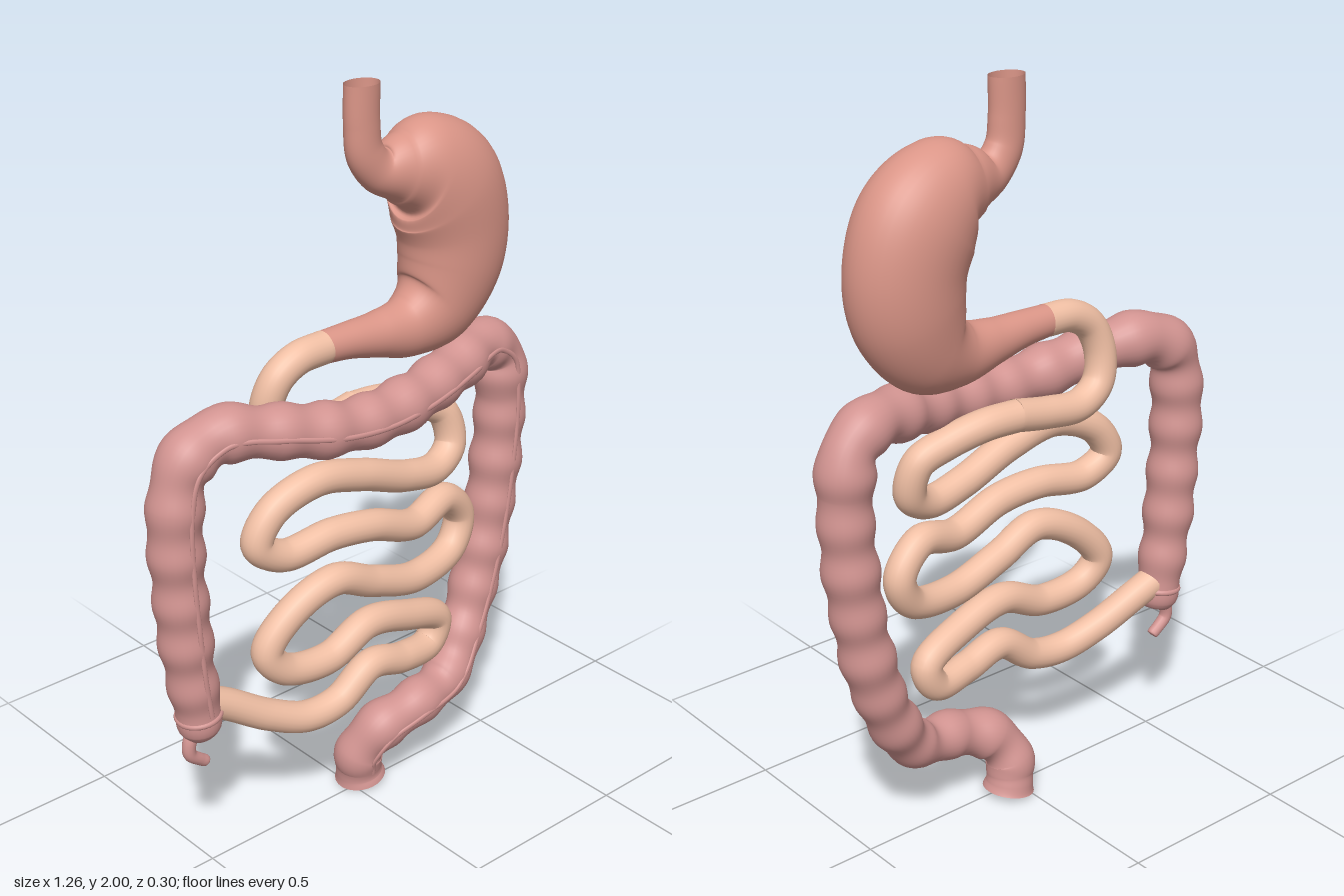
import * as THREE from 'three';

const material = (color) => new THREE.MeshStandardMaterial({ color, side: THREE.DoubleSide });
const Z = new THREE.Vector3(0, 0, 1);

// Smooth path and radius samples from stations [x, y, z, radius, depth ratio]
function samplePath(stations, steps, swell) {
  const path = new THREE.CatmullRomCurve3(stations.map(([x, y, z]) => new THREE.Vector3(x, y, z)));
  const size = new THREE.CatmullRomCurve3(stations.map(([, , , r, d = 1], i) => new THREE.Vector3(r, d, i)));
  const rings = [];
  let length = 0;
  for (let i = 0; i <= steps; i++) {
    const t = i / steps;
    const p = path.getPoint(t);
    const s = size.getPoint(t);
    if (i) length += p.distanceTo(rings[i - 1].p);
    const tangent = path.getTangent(t);
    const side = new THREE.Vector3().crossVectors(Z, tangent).normalize();
    const front = new THREE.Vector3().crossVectors(tangent, side).normalize();
    rings.push({ p, side, front, base: s.x, r: Math.max(s.x, 0.0005) * swell(length), depth: s.y });
  }
  return rings;
}

// Skin the samples with elliptical cross-sections
function sweep(name, stations, color, { steps = 120, sides = 24, swell = () => 1 } = {}) {
  const rings = samplePath(stations, steps, swell);
  const positions = [];
  const index = [];
  rings.forEach(({ p, side, front, r, depth }, i) => {
    for (let j = 0; j < sides; j++) {
      const a = (j / sides) * Math.PI * 2;
      const v = p.clone().addScaledVector(side, Math.cos(a) * r).addScaledVector(front, Math.sin(a) * r * depth);
      positions.push(v.x, v.y, v.z);
      if (i < steps) {
        const k = (j + 1) % sides;
        const [m, n, o, q] = [i * sides + j, i * sides + k, (i + 1) * sides + j, (i + 1) * sides + k];
        index.push(m, n, o, n, q, o);
      }
    }
  });
  const geometry = new THREE.BufferGeometry();
  geometry.setAttribute('position', new THREE.Float32BufferAttribute(positions, 3));
  geometry.setIndex(index);
  geometry.computeVertexNormals();
  const mesh = new THREE.Mesh(geometry, material(color));
  mesh.name = name;
  return mesh;
}

export function createModel() {
  const model = new THREE.Group();
  model.name = 'digestiveTract';
  const stomachColor = 0xda9587, colonColor = 0xd29491, bowelColor = 0xf0bfa4;

  // Gullet widening into the stomach and narrowing to its outlet
  model.add(sweep('gulletAndStomach', [
    [0.043, 2.0, -0.02, 0.05, 0.76], [0.043, 1.9, -0.02, 0.05, 0.76], [0.053, 1.825, -0.02, 0.052, 0.78],
    [0.096, 1.773, -0.02, 0.058, 0.85], [0.165, 1.762, -0.02, 0.093, 0.86], [0.24, 1.75, -0.02, 0.139, 0.82],
    [0.315, 1.687, -0.02, 0.164, 0.79], [0.356, 1.575, -0.02, 0.161, 0.79], [0.346, 1.465, -0.02, 0.152, 0.79],
    [0.29, 1.372, -0.02, 0.126, 0.8], [0.2, 1.333, -0.02, 0.087, 0.86], [0.1, 1.336, -0.02, 0.062, 0.95],
    [0, 1.346, -0.02, 0.048], [-0.09, 1.35, -0.02, 0.042],
  ], stomachColor, { steps: 140, sides: 40 }));

  // First bend of the small bowel, curling behind the colon
  model.add(sweep('duodenum', [
    [-0.08, 1.35, -0.02], [-0.17, 1.343, -0.02], [-0.23, 1.305, -0.025], [-0.256, 1.23, -0.038],
    [-0.238, 1.15, -0.05], [-0.17, 1.108, -0.056], [-0.06, 1.115, -0.056], [0.05, 1.135, -0.056],
  ].map((s) => [...s, 0.043]), bowelColor, { steps: 70 }));

  // Coiled small bowel, ending at the cecum
  model.add(sweep('smallIntestine', [
    [0.04, 1.133, -0.056], [0.14, 1.13, -0.045], [0.24, 1.1, -0.02], [0.315, 1.06, 0.0],
    [0.327, 0.97, 0.02], [0.26, 0.925, 0.035], [0.14, 0.942, 0.045], [-0.02, 1.0, 0.05],
    [-0.17, 1.03, 0.045], [-0.3, 0.98, 0.03], [-0.343, 0.9, 0.025], [-0.27, 0.848, 0.035],
    [-0.12, 0.862, 0.05], [0.01, 0.847, 0.06], [0.16, 0.797, 0.055], [0.29, 0.822, 0.035],
    [0.362, 0.745, 0.025], [0.32, 0.66, 0.035], [0.17, 0.632, 0.055], [0.01, 0.68, 0.06],
    [-0.12, 0.732, 0.06], [-0.25, 0.68, 0.045], [-0.327, 0.585, 0.035], [-0.28, 0.52, 0.045],
    [-0.14, 0.5, 0.055], [0, 0.553, 0.055], [0.14, 0.52, 0.05], [0.274, 0.455, 0.035],
    [0.245, 0.386, 0.035], [0.13, 0.39, 0.05], [0.01, 0.418, 0.055], [-0.1, 0.348, 0.05],
    [-0.2, 0.337, 0.04], [-0.31, 0.377, 0.015], [-0.43, 0.448, -0.015], [-0.51, 0.485, -0.025],
  ].map((s) => [...s, 0.043]), bowelColor, { steps: 420, sides: 20 }));

  // Large bowel: rounded pouch, up, across, down, S-bend and flared rectum
  const colon = [
    [-0.505, 0.382, -0.02, 0], [-0.507, 0.387, -0.02, 0.035], [-0.51, 0.41, -0.02, 0.052],
    [-0.515, 0.47, -0.02, 0.062], [-0.535, 0.6, -0.02, 0.067], [-0.55, 0.76, -0.02, 0.069],
    [-0.56, 0.92, -0.02, 0.07], [-0.558, 1.06, -0.02, 0.07], [-0.53, 1.165, -0.02, 0.072],
    [-0.44, 1.217, -0.012, 0.072], [-0.3, 1.203, 0.03, 0.07], [-0.15, 1.172, 0.062, 0.07],
    [0, 1.16, 0.072, 0.07], [0.16, 1.172, 0.062, 0.07], [0.32, 1.195, 0.03, 0.07],
    [0.46, 1.213, -0.01, 0.07], [0.535, 1.165, -0.02, 0.072], [0.553, 1.05, -0.02, 0.071],
    [0.548, 0.89, -0.02, 0.07], [0.525, 0.7, -0.02, 0.07], [0.485, 0.52, -0.018, 0.069],
    [0.42, 0.365, -0.005, 0.067], [0.32, 0.24, 0.025, 0.065], [0.18, 0.208, 0.04, 0.064],
    [0.075, 0.17, 0.02, 0.068], [0.03, 0.1, -0.01, 0.067], [0.034, 0.055, -0.017, 0.062],
    [0.038, 0.03, -0.02, 0.067], [0.042, 0.009, -0.02, 0.075],
  ];
  const pouches = (s) => 1 + 0.065 * Math.sin((2 * Math.PI * s) / 0.13) + 0.02 * Math.sin(23 * s);
  model.add(sweep('largeIntestine', colon, colonColor, { steps: 420, sides: 28, swell: pouches }));

  // Muscle band along the front, surfacing between the pouches
  const band = samplePath(colon.slice(3, -2), 60, () => 1).map(({ p, front, base }) => {
    const v = p.clone().addScaledVector(front, base * 1.01);
    return [v.x, v.y, v.z, 0.007, 0.6];
  });
  model.add(sweep('colonBand', band, colonColor, { steps: 240, sides: 16 }));

  // Raised rim where the small bowel joins
  const rim = new THREE.Mesh(new THREE.TorusGeometry(0.056, 0.009, 10, 32), material(colonColor));
  rim.name = 'cecumRim';
  rim.rotation.set(Math.PI / 2, 0.12, 0);
  rim.position.set(-0.512, 0.45, -0.02);
  model.add(rim);

  // Small curled appendix with a closed tip
  model.add(sweep('appendix', [
    [-0.52, 0.42, -0.02, 0.02], [-0.545, 0.375, -0.02, 0.019], [-0.545, 0.34, -0.02, 0.018],
    [-0.515, 0.312, -0.02, 0.017], [-0.495, 0.298, -0.02, 0.015], [-0.493, 0.296, -0.02, 0],
  ], colonColor, { steps: 40, sides: 14 }));

  return model;
}
